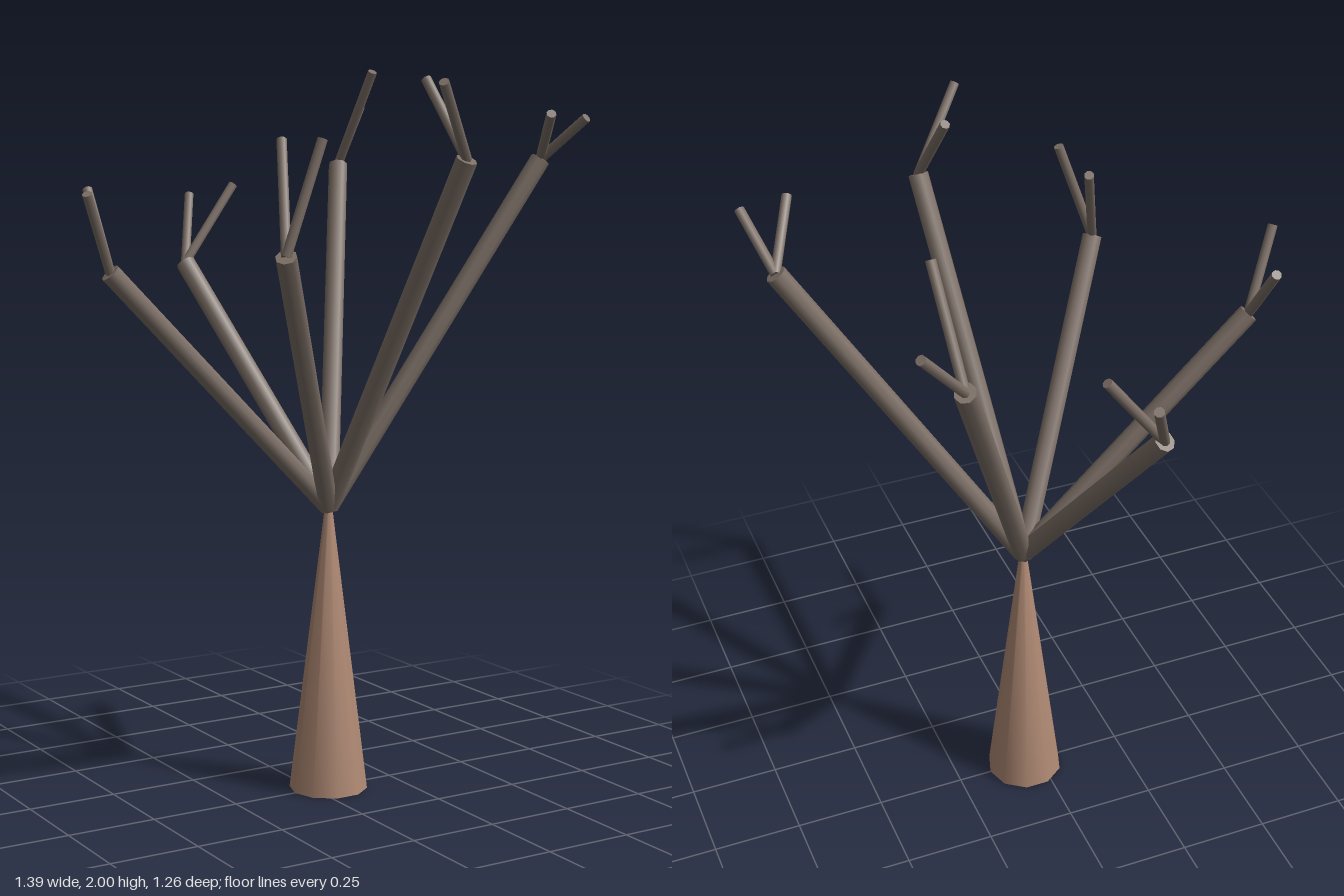
import * as THREE from 'three';

const bark = new THREE.MeshStandardMaterial({ color: 0xb08a74 });
const wood = new THREE.MeshStandardMaterial({ color: 0x7d7067 });

// Straight capped rod between two points
function rod(name, from, to, radius, sides) {
  const dir = to.clone().sub(from);
  const mesh = new THREE.Mesh(new THREE.CylinderGeometry(radius, radius, dir.length(), sides), wood);
  mesh.name = name;
  mesh.position.copy(from).add(to).multiplyScalar(0.5);
  mesh.quaternion.setFromUnitVectors(new THREE.Vector3(0, 1, 0), dir.normalize());
  return mesh;
}

// Each limb: branch end, then the tips of its two twigs
const limbs = [
  [[-0.585, 1.46, -0.047], [-0.685, 1.665, 0.035], [-0.57, 1.67, -0.21]],
  [[-0.135, 1.45, -0.49], [-0.052, 1.64, -0.622], [0.03, 1.67, -0.505]],
  [[0.382, 1.725, -0.495], [0.4, 1.993, -0.335], [0.513, 1.895, -0.578]],
  [[0.642, 1.745, 0.15], [0.557, 1.868, 0.308], [0.683, 1.858, 0.3]],
  [[0.142, 1.75, 0.505], [-0.008, 1.938, 0.618], [0.11, 1.953, 0.367]],
  [[-0.325, 1.515, 0.405], [-0.24, 1.8, 0.238], [-0.228, 1.802, 0.417]],
];

export function createModel() {
  const tree = new THREE.Group();
  tree.name = 'bareTree';

  // Tapered trunk
  const trunk = new THREE.Mesh(new THREE.CylinderGeometry(0.01, 0.109, 0.8, 10), bark);
  trunk.name = 'trunk';
  trunk.position.set(0.046, 0.4, 0);
  trunk.rotation.y = Math.PI / 2;
  tree.add(trunk);

  // Branches fan out from the trunk top, each forking into two twigs
  const fork = new THREE.Vector3(0.046, 0.8, 0);
  for (const [end, ...tips] of limbs) {
    const limb = new THREE.Group();
    limb.name = 'limb';
    const top = new THREE.Vector3(...end);
    limb.add(rod('branch', fork, top, 0.028, 8));
    for (const tip of tips) limb.add(rod('twig', top, new THREE.Vector3(...tip), 0.0135, 8));
    tree.add(limb);
  }
  return tree;
}
